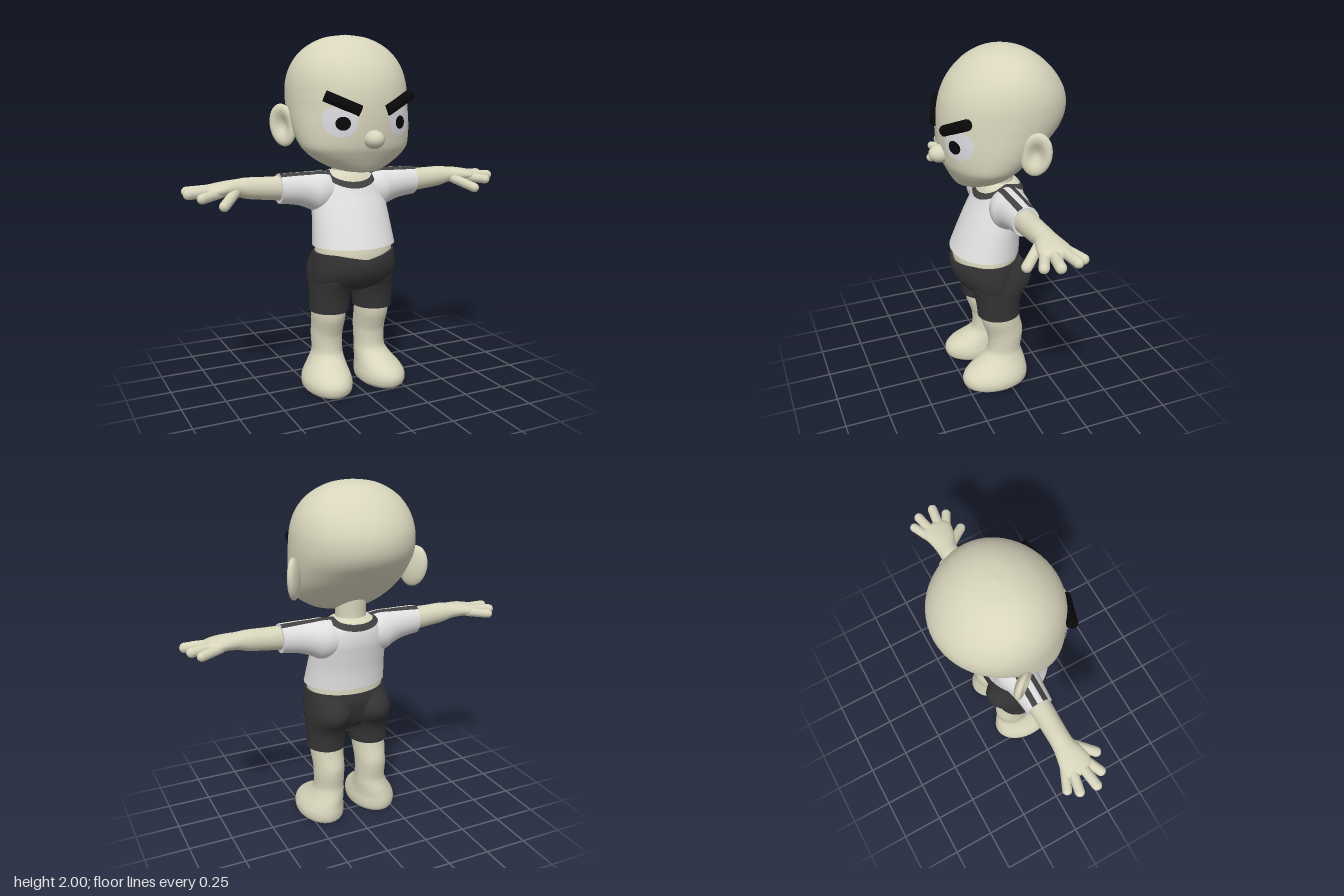
import * as THREE from 'three';

const mat = (name, color, side = THREE.FrontSide) =>
  Object.assign(new THREE.MeshStandardMaterial({ color, side }), { name });

// Smoothly refine rows of [t, centreA, centreB, radiusA, radiusB]
function refine(keys, n = 5) {
  const rows = [], last = keys.length - 1;
  for (let i = 0; i < last; i++) {
    const [p0, p1, p2, p3] = [keys[Math.max(i - 1, 0)], keys[i], keys[i + 1], keys[Math.min(i + 2, last)]];
    for (let k = 0; k < n; k++) {
      const s = k / n;
      rows.push(p1.map((v, c) => {
        const linear = p2[c] - p0[c];
        const square = 2 * p0[c] - 5 * v + 4 * p2[c] - p3[c];
        const cube = 3 * (v - p2[c]) + p3[c] - p0[c];
        return v + 0.5 * s * (linear + s * (square + s * cube));
      }));
    }
  }
  rows.push(keys[last]);
  return rows;
}

// Section of refined rows at a given t
function sectionAt(rows, t) {
  let i = 0;
  while (i < rows.length - 2 && rows[i + 1][0] < t) i++;
  const a = rows[i], b = rows[i + 1];
  const s = THREE.MathUtils.clamp((t - a[0]) / (b[0] - a[0]), 0, 1);
  return a.map((v, c) => v + (b[c] - v) * s);
}

// Closed skin through elliptical sections along the y or x axis, capped at both ends
function loft(rows, axis = 'y', seg = 40) {
  const pos = [], idx = [];
  const ring = ([t, a, b, ra, rb]) => {
    for (let j = 0; j < seg; j++) {
      const q = j / seg * Math.PI * 2, c = Math.cos(q), s = Math.sin(q);
      if (axis === 'y') pos.push(a + ra * c, t, b + rb * s);
      else pos.push(t, a + ra * s, b + rb * c);
    }
  };
  rows.forEach(ring);
  for (let i = 0; i < rows.length - 1; i++) for (let j = 0; j < seg; j++) {
    const k = (j + 1) % seg, A = i * seg + j, B = i * seg + k;
    idx.push(A, A + seg, B, B, A + seg, B + seg);
  }
  for (const end of [0, rows.length - 1]) {
    const r = rows[end], base = pos.length / 3;
    if (r[3] < 0.001) continue;
    ring(r);
    pos.push(...(axis === 'y' ? [r[1], r[0], r[2]] : [r[0], r[1], r[2]]));
    for (let j = 0; j < seg; j++) {
      const A = base + j, B = base + (j + 1) % seg;
      idx.push(base + seg, ...(end ? [B, A] : [A, B]));
    }
  }
  return build(pos, idx);
}

function build(pos, idx) {
  const g = new THREE.BufferGeometry();
  g.setAttribute('position', new THREE.Float32BufferAttribute(pos, 3));
  g.setIndex(idx);
  g.computeVertexNormals();
  return g;
}

// Thin surface from a function of u and v
function patch(fn, nu, nv) {
  const pos = [], idx = [];
  for (let j = 0; j <= nv; j++) for (let i = 0; i <= nu; i++) pos.push(...fn(i / nu, j / nv));
  for (let j = 0; j < nv; j++) for (let i = 0; i < nu; i++) {
    const A = j * (nu + 1) + i, C = A + nu + 1;
    idx.push(A, A + 1, C, A + 1, C + 1, C);
  }
  return build(pos, idx);
}

function mirror(geo) {
  const g = geo.clone().scale(-1, 1, 1), ix = g.index.array;
  for (let i = 0; i < ix.length; i += 3) [ix[i], ix[i + 1]] = [ix[i + 1], ix[i]];
  return g;
}

// Rounded or flat-ended rod between two points
function rod(a, b, r, flatEnds) {
  const p = new THREE.Vector3(...a), q = new THREE.Vector3(...b), d = q.clone().sub(p), len = d.length();
  const g = flatEnds ? new THREE.CylinderGeometry(r, r, len, 10) : new THREE.CapsuleGeometry(r, len, 6, 14);
  g.applyQuaternion(new THREE.Quaternion().setFromUnitVectors(new THREE.Vector3(0, 1, 0), d.normalize()));
  const m = p.add(q).multiplyScalar(0.5);
  return g.translate(m.x, m.y, m.z);
}

export function createModel() {
  const model = new THREE.Group();
  const skin = mat('skin', 0xd8d5bc), cloth = mat('shirtWhite', 0xe0e0e1);
  const dark = mat('shortsCharcoal', 0x333333), trim = mat('trimGrey', 0x424242, THREE.DoubleSide);
  const black = mat('black', 0x090909, THREE.DoubleSide), white = mat('eyeWhite', 0xdadae0, THREE.DoubleSide);
  const add = (name, geo, m) => {
    const mesh = new THREE.Mesh(geo, m);
    mesh.name = name;
    model.add(mesh);
  };
  const pair = (name, geo, m) => {
    add(name + 'Left', geo, m);
    add(name + 'Right', mirror(geo), m);
  };
  // Rows given as [y, halfWidth, zFront, zBack]
  const body = keys => refine(keys.map(([y, w, f, b]) => [y, 0, (f + b) / 2, w, (f - b) / 2]));

  // Head, nose and neck
  const head = body([[1.26, 0, 0.2, 0.2], [1.268, 0.09, 0.232, 0.1], [1.29, 0.165, 0.25, 0.0], [1.325, 0.23, 0.27, -0.06],
    [1.36, 0.275, 0.288, -0.1], [1.4, 0.308, 0.305, -0.145], [1.46, 0.327, 0.316, -0.22], [1.53, 0.337, 0.322, -0.29],
    [1.6, 0.341, 0.323, -0.35], [1.67, 0.342, 0.318, -0.376], [1.75, 0.336, 0.3, -0.37], [1.83, 0.312, 0.26, -0.33],
    [1.9, 0.265, 0.2, -0.27], [1.95, 0.2, 0.135, -0.205], [1.985, 0.115, 0.06, -0.13], [2, 0, -0.03, -0.03]]);
  add('head', loft(head, 'y', 56), skin);
  add('nose', new THREE.SphereGeometry(1, 24, 16).scale(0.055, 0.05, 0.065).translate(0, 1.447, 0.317), skin);
  add('neck', loft(body([[1.18, 0.1, 0.08, -0.11], [1.25, 0.088, 0.065, -0.098], [1.36, 0.09, 0.08, -0.1]])), skin);

  // Eyes and brows
  const face = (x, y, lift) => {
    const [, a, b, ra, rb] = sectionAt(head, y);
    return [x, y, b + rb * Math.sqrt(Math.max(0, 1 - ((x - a) / ra) ** 2)) + lift];
  };
  const outline = [[0.26, 1.54], [0.245, 1.6], [0.2, 1.62], [0.12, 1.6], [0.09, 1.56], [0.1, 1.5],
    [0.13, 1.47], [0.19, 1.46], [0.235, 1.485]];
  pair('eye', patch((u, v) => {
    const [x, y] = outline[Math.round(u * 9) % 9];
    return face(x + (0.17 - x) * v, y + (1.535 - y) * v, 0.007);
  }, 9, 3), white);
  pair('pupil', patch((u, v) => {
    const q = u * Math.PI * 2, r = 0.036 * (1 - v);
    return face(0.168 + r * Math.cos(q), 1.533 + r * Math.sin(q), 0.014);
  }, 16, 2), black);
  pair('brow', rod([0.078, 1.597, 0.318], [0.253, 1.676, 0.25], 0.03, true), black);

  // Ears: flattened spheres hollowed on the outer face
  const ear = new THREE.SphereGeometry(1, 32, 24), ep = ear.attributes.position;
  for (let i = 0; i < ep.count; i++) {
    const x = ep.getX(i), y = ep.getY(i), z = ep.getZ(i);
    const dent = z > 0 ? 0.05 * z * Math.exp(-3 * (x * x + y * y)) : 0;
    ep.setXYZ(i, x * 0.082, y * 0.118, z * 0.035 - dent);
  }
  ear.rotateZ(-0.2).rotateY(0.93).translate(0.36, 1.51, -0.08);
  ear.computeVertexNormals();
  pair('ear', ear, skin);

  // Shirt body, sleeves and belly
  const shirt = body([[0.845, 0.242, 0.268, -0.12], [0.95, 0.232, 0.222, -0.125], [1.05, 0.225, 0.175, -0.14],
    [1.12, 0.218, 0.138, -0.15], [1.19, 0.19, 0.105, -0.145], [1.235, 0.14, 0.08, -0.125], [1.255, 0.09, 0.06, -0.1]]);
  add('shirt', loft(shirt), cloth);
  const sleeve = refine([[0.09, 1.14, -0.02, 0.1, 0.1], [0.15, 1.14, -0.015, 0.113, 0.112], [0.2, 1.14, -0.01, 0.115, 0.112],
    [0.25, 1.152, -0.008, 0.102, 0.098], [0.32, 1.164, -0.005, 0.09, 0.086], [0.42, 1.17, -0.003, 0.082, 0.076]]);
  pair('sleeve', loft(sleeve, 'x'), cloth);
  add('belly', loft(body([[0.72, 0.225, 0.245, -0.11], [0.81, 0.226, 0.25, -0.11], [0.9, 0.218, 0.228, -0.108]])), skin);

  // Shoulder stripes
  for (const [name, z0] of [['backStripe', -0.034], ['frontStripe', 0.03]]) pair(name, patch((u, v) => {
    const x = 0.11 + 0.311 * u, z = z0 + 0.015 - 0.03 * v, [, yc, zc, ry, rz] = sectionAt(sleeve, x);
    return [x, yc + ry * Math.sqrt(1 - ((z - zc) / rz) ** 2) + 0.005, z];
  }, 16, 3), trim);

  // Collar band and the bare skin above it
  const onShirt = (q, y, lift) => {
    const [, a, b, ra, rb] = sectionAt(shirt, y);
    return [a + (ra + lift) * Math.cos(q), y + lift * 0.5, b + (rb + lift) * Math.sin(q)];
  };
  const neckline = q => 1.252 - Math.sin(q) ** 2 * (Math.sin(q) > 0 ? 0.058 : 0.025);
  add('collar', patch((u, v) => {
    const q = -u * Math.PI * 2, y = neckline(q);
    return onShirt(q, y - (1 - v) * (0.014 + 0.022 * Math.sin(q) ** 2), 0.007);
  }, 48, 3), trim);
  add('neckOpening', patch((u, v) => {
    const q = -u * Math.PI * 2, y = neckline(q);
    return onShirt(q, y + (1.255 - y) * v, 0.004);
  }, 48, 3), skin);

  // Arms and hands
  pair('arm', loft(refine([[0.36, 1.17, 0, 0.07, 0.064], [0.5, 1.178, 0, 0.063, 0.06], [0.6, 1.185, 0, 0.058, 0.058],
    [0.66, 1.19, 0, 0.047, 0.06], [0.72, 1.19, 0.005, 0.042, 0.075], [0.78, 1.185, 0.005, 0.037, 0.086],
    [0.825, 1.182, 0, 0.028, 0.07], [0.845, 1.18, 0, 0, 0]]), 'x', 28), skin);
  const digits = [[[0.76, 1.18, -0.05], [0.875, 1.168, -0.1], 0.026], [[0.79, 1.188, -0.025], [0.915, 1.18, -0.05], 0.027],
    [[0.79, 1.185, 0.025], [0.927, 1.178, 0.045], 0.028], [[0.76, 1.175, 0.05], [0.872, 1.16, 0.105], 0.027],
    [[0.68, 1.17, 0.045], [0.768, 1.12, 0.145], 0.028]];
  digits.forEach(([a, b, r], i) => pair(i < 4 ? 'finger' + (i + 1) : 'thumb', rod(a, b, r), skin));

  // Shorts: waist with a dip at the front, plus two legs
  const waist = loft(body([[0.57, 0.12, 0.1, -0.04], [0.6, 0.225, 0.165, -0.075], [0.64, 0.247, 0.225, -0.1],
    [0.7, 0.25, 0.262, -0.118], [0.76, 0.246, 0.27, -0.128], [0.81, 0.238, 0.262, -0.12]]));
  const wp = waist.attributes.position;
  for (let i = 0; i < wp.count; i++) {
    const x = wp.getX(i), y = wp.getY(i);
    if (y > 0.74 && wp.getZ(i) > 0.1)
      wp.setY(i, y - 0.032 * Math.max(0, 1 - Math.abs(x) / 0.17) * (y - 0.74) / 0.07);
  }
  waist.computeVertexNormals();
  add('shortsWaist', waist, dark);
  pair('shortsLeg', loft(refine([[0.462, 0.138, 0.035, 0.113, 0.125], [0.54, 0.135, 0.038, 0.115, 0.13],
    [0.6, 0.13, 0.035, 0.122, 0.148], [0.65, 0.126, 0.025, 0.124, 0.178], [0.7, 0.123, 0.02, 0.122, 0.186],
    [0.75, 0.121, 0.03, 0.115, 0.175], [0.8, 0.119, 0.04, 0.1, 0.145]])), dark);

  // Legs and feet
  pair('leg', loft(refine([[0, 0.17, 0.07, 0.112, 0.172], [0.02, 0.17, 0.07, 0.132, 0.194], [0.06, 0.17, 0.07, 0.136, 0.2],
    [0.1, 0.165, 0.06, 0.125, 0.185], [0.14, 0.153, 0.032, 0.108, 0.15], [0.18, 0.142, 0.008, 0.095, 0.115],
    [0.22, 0.137, 0, 0.088, 0.1], [0.3, 0.137, -0.005, 0.089, 0.105], [0.35, 0.136, 0.002, 0.09, 0.112],
    [0.42, 0.137, 0.022, 0.095, 0.115], [0.5, 0.137, 0.03, 0.097, 0.112]])), skin);

  return model;
}
